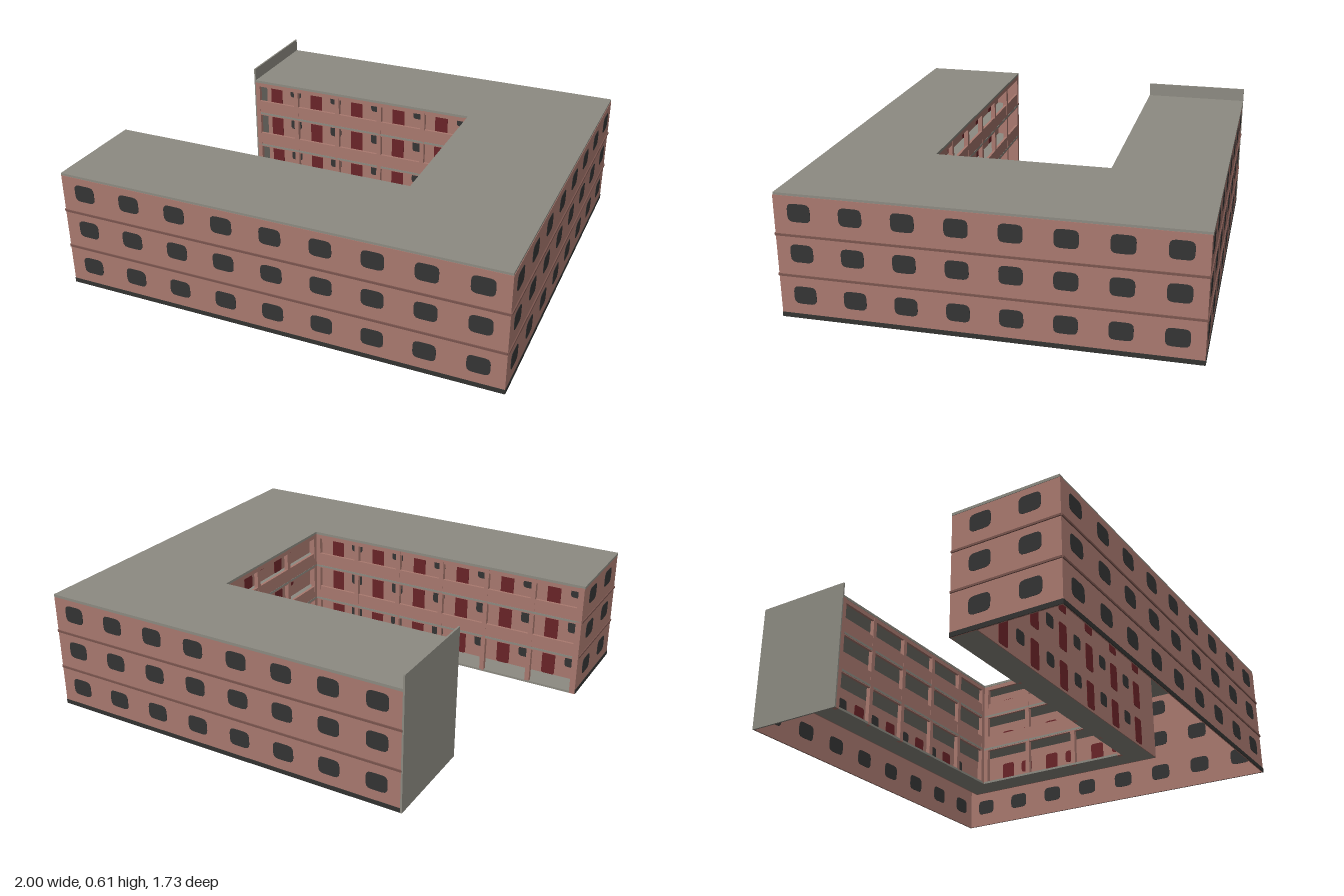
import * as THREE from 'three';

const mat = (name, color) => {
  const m = new THREE.MeshStandardMaterial({ color });
  m.name = name;
  return m;
};

export function createModel() {
  const model = new THREE.Group();
  model.name = 'courtyardBuilding';
  const brick = mat('brickPink', 0xa9796f);
  const concrete = mat('concreteGrey', 0x8d8b82);
  const glass = mat('darkGlass', 0x343434);
  const plinthDark = mat('plinthDark', 0x333331);
  const doorRed = mat('doorRed', 0x6a2428);
  const band = mat('bandBrown', 0x7a554e);

  const H = 0.535, T = 0.006;              // wall height and thickness
  const floors = [0, 0.18, 0.36];
  const windowY = [0.105, 0.29, 0.465];

  const add = (parent, name, geo, material, x = 0, y = 0, z = 0) => {
    const m = new THREE.Mesh(geo, material);
    m.name = name;
    m.position.set(x, y, z);
    parent.add(m);
    return m;
  };
  const box = (parent, name, material, w, h, d, x, y, z) =>
    add(parent, name, new THREE.BoxGeometry(w, h, d), material, x, y, z);
  const side = (name, x, z, turn) => {
    const g = new THREE.Group();
    g.name = name;
    g.position.set(x, 0, z);
    g.rotation.y = turn;
    model.add(g);
    return g;
  };

  // Flat pane with rounded corners, showing on both sides of a thin wall
  const pane = (w, h, r) => {
    const a = w / 2, b = h / 2, s = new THREE.Shape();
    s.moveTo(-a + r, -b).lineTo(a - r, -b).quadraticCurveTo(a, -b, a, -b + r)
      .lineTo(a, b - r).quadraticCurveTo(a, b, a - r, b)
      .lineTo(-a + r, b).quadraticCurveTo(-a, b, -a, b - r)
      .lineTo(-a, -b + r).quadraticCurveTo(-a, -b, -a + r, -b);
    return new THREE.ExtrudeGeometry(s, { depth: 0.009, bevelEnabled: false, curveSegments: 3 })
      .translate(0, 0, -0.0045);
  };
  const windowPane = pane(0.097, 0.077, 0.024);
  const smallPane = pane(0.06, 0.06, 0.015);
  const doorPane = pane(0.065, 0.125, 0.012);

  // Horizontal slab from a plan outline of [x, z] points
  const slab = (name, points, top, thick, material) => {
    const s = new THREE.Shape(points.map(p => new THREE.Vector2(...p)));
    const geo = new THREE.ExtrudeGeometry(s, { depth: thick, bevelEnabled: false });
    add(model, name, geo.rotateX(Math.PI / 2), material, 0, top, 0);
  };

  // Outer wall with window grid, floor mouldings and dark plinth
  const outerWall = (name, length, count, pitch, x, z, turn) => {
    const g = side(name, x, z, turn);
    box(g, 'wall', brick, length, H, T, 0, H / 2, -T / 2);
    box(g, 'plinth', plinthDark, length, 0.02, 0.003, 0, 0.01, 0.0005);
    for (const y of [0.19, 0.367])
      box(g, 'moulding', band, length, 0.009, 0.006, 0, y, 0.002);
    for (const y of windowY)
      for (let i = 0; i < count; i++)
        add(g, 'window', windowPane, glass, (i - (count - 1) / 2) * pitch, y, -T / 2);
  };
  outerWall('frontWall', 1.99, 9, 0.221, 0, 0.862, 0);
  outerWall('leftWall', 1.724, 8, 0.2157, 0.995, 0, Math.PI / 2);
  outerWall('backWall', 1.725, 8, 0.2157, 0.1325, -0.862, Math.PI);
  outerWall('frontWingEnd', 0.482, 2, 0.22, -0.995, 0.621, -Math.PI / 2);

  // Bare end wall rising above the roof
  box(model, 'bareEndWall', concrete, 0.008, 0.605, 0.475, -0.732, 0.3025, -0.6275);

  // Roof over the three wings
  slab('roof', [[-0.73, -0.865], [0.993, -0.865], [0.993, 0.86], [-0.997, 0.86],
    [-0.997, 0.38], [0.41, 0.38], [0.41, -0.39], [-0.73, -0.39]], 0.545, 0.012, concrete);

  // Gallery floors along the courtyard
  for (const y of floors)
    slab('galleryFloor', [[-0.73, -0.51], [0.53, -0.51], [0.53, 0.5], [-0.99, 0.5],
      [-0.99, 0.38], [0.41, 0.38], [0.41, -0.39], [-0.73, -0.39]], y + 0.01, 0.01, concrete);

  // Open gallery: columns, parapets and a rear wall with doors and windows
  const gallery = (name, length, bays, extL, extR, paneMat, x, z, turn) => {
    const g = side(name, x, z, turn);
    const pitch = length / bays;
    box(g, 'rearWall', brick, length + extL + extR, H, T, (extR - extL) / 2, H / 2, -0.12);
    box(g, 'lintel', brick, length, 0.02, 0.012, 0, H - 0.012, -0.007);
    for (const y of floors.slice(1))
      box(g, 'parapet', brick, length, 0.078, 0.012, 0, y + 0.034, -0.007);
    for (let i = 0; i <= bays; i++) {
      const px = Math.min(Math.max(i * pitch, 0.011), length - 0.011) - length / 2;
      box(g, 'column', brick, 0.022, H, 0.02, px, H / 2, -0.01);
    }
    for (let i = 0; i < bays; i++) {
      const c = (i + 0.5) * pitch - length / 2;
      for (const y of floors) {
        add(g, 'door', doorPane, doorRed, c - 0.055, y + 0.073, -0.12);
        add(g, 'galleryWindow', smallPane, paneMat, c + 0.055, y + 0.1, -0.12);
      }
    }
  };
  gallery('frontGallery', 1.4, 6, 0.12, 0, glass, -0.29, 0.38, Math.PI);
  gallery('backGallery', 1.14, 5, 0, 0.12, glass, -0.16, -0.39, 0);
  gallery('leftGallery', 0.77, 3, 0.12, 0.12, doorRed, 0.41, -0.005, -Math.PI / 2);

  return model;
}
